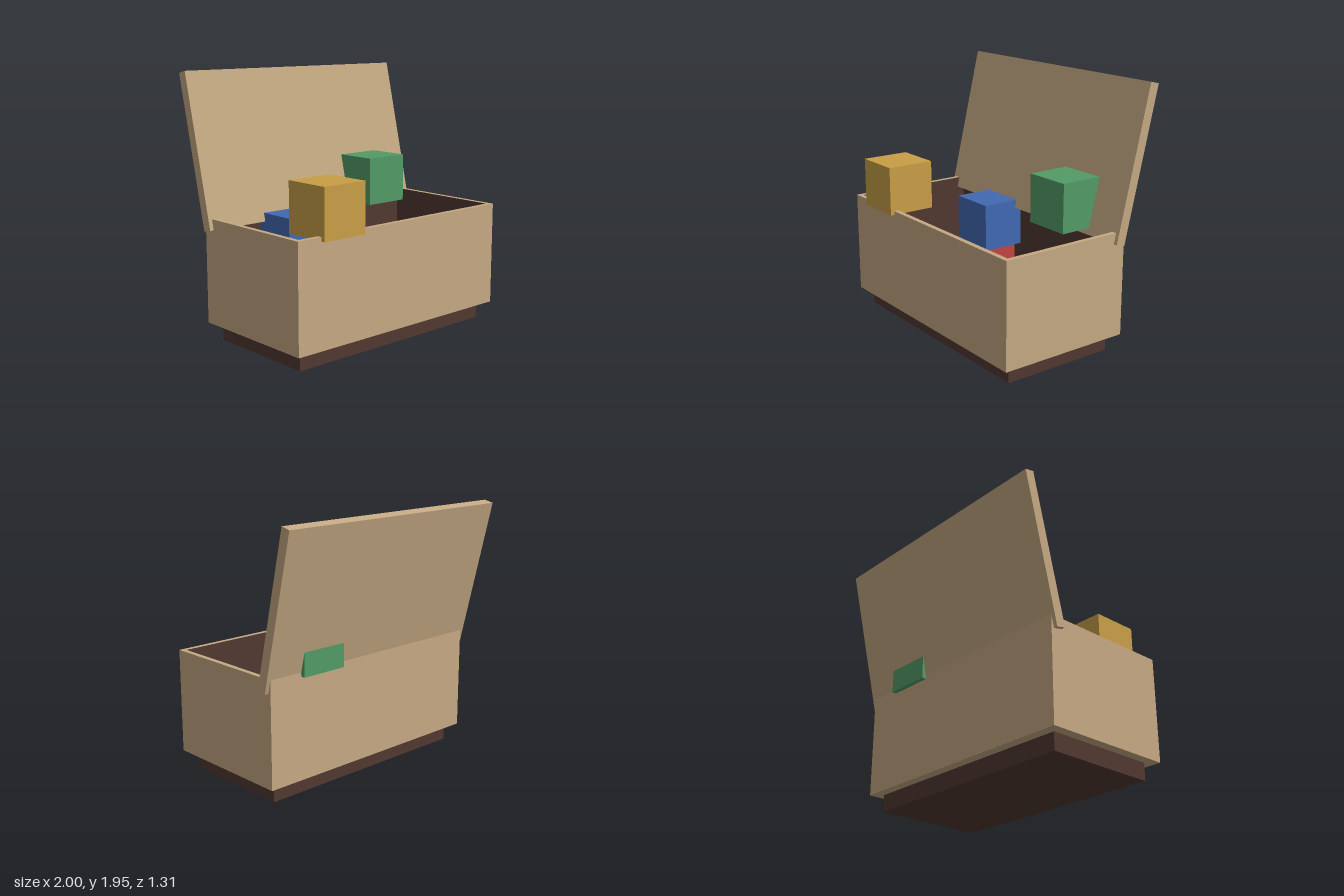
import * as THREE from 'three';

const mat = (name, color) => {
  const m = new THREE.MeshStandardMaterial({ color });
  m.name = name;
  return m;
};

export function createModel() {
  const wood = mat('tan wood', 0xc4a882);
  const dark = mat('dark brown', 0x503830);
  const yellow = mat('yellow paint', 0xc89e46);
  const green = mat('green paint', 0x529b66);
  const blue = mat('blue paint', 0x4169b2);
  const red = mat('red paint', 0xc44444);

  const chest = new THREE.Group();
  chest.name = 'toyChest';

  // Box given by its minimum and maximum corners
  const block = (name, min, max, material) => {
    const size = max.map((v, i) => v - min[i]);
    const mesh = new THREE.Mesh(new THREE.BoxGeometry(...size), material);
    mesh.position.set(...max.map((v, i) => (v + min[i]) / 2));
    mesh.name = name;
    chest.add(mesh);
    return mesh;
  };

  // Wooden panel with one dark inner face (order: +x, -x, +y, -y, +z, -z)
  const lined = (face) => Array.from({ length: 6 }, (_, i) => (i === face ? dark : wood));

  const X = 0.97, Y0 = 0.13, Y1 = 0.91, ZB = -0.41, ZF = 0.625, T = 0.038;

  // Recessed plinth
  block('plinth', [-0.895, 0, -0.335], [0.895, Y0, 0.545], dark);

  // Open body: floor and four walls, dark on the inside
  block('floor', [-X + T, Y0, ZB + T], [X - T, Y0 + T, ZF - T], lined(2));
  block('frontWall', [-X + T, Y0, ZF - T], [X - T, Y1, ZF], lined(5));
  block('backWall', [-X + T, Y0, ZB], [X - T, Y1, ZB + T], lined(4));
  block('leftWall', [X - T, Y0, ZB], [X, Y1, ZF], lined(1));
  block('rightWall', [-X, Y0, ZB], [-X + T, Y1, ZF], lined(0));

  // Lid leaning back on its hinge edge
  const lid = new THREE.Mesh(new THREE.BoxGeometry(2, 1.146, 0.075), wood);
  lid.position.set(0, 1.38, -0.484);
  lid.rotation.x = -0.235;
  lid.name = 'lid';
  chest.add(lid);

  // Toy blocks, placed by their minimum corner
  const S = 0.365;
  [
    ['yellowBlock', [-0.77, 0.88, 0.29], yellow],
    ['greenBlock', [0.335, 0.88, -0.445], green],
    ['blueBlock', [-0.51, 0.53, -0.395], blue],
    ['redBlock', [-0.575, 0.165, -0.365], red],
  ].forEach(([name, min, m]) => block(name, min, min.map((v) => v + S), m));

  return chest;
}
